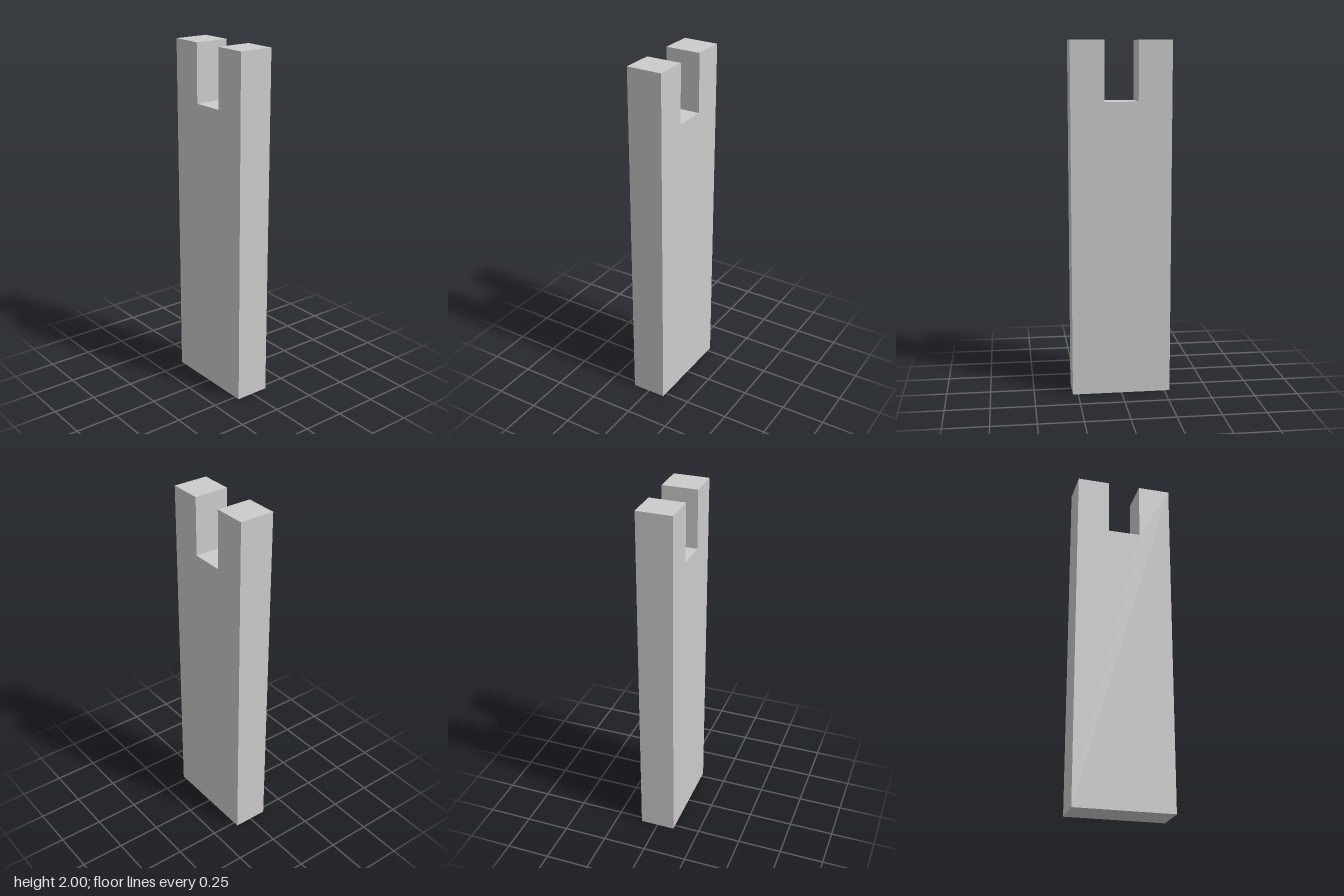
import * as THREE from 'three';

export function createModel() {
  const group = new THREE.Group();
  group.name = 'notchedPost';

  const halfWidth = 0.281, halfSlot = 0.094, height = 2, slotFloor = 1.667, depth = 0.202;

  // Front outline: upright board with a square slot cut into its top edge
  const outline = new THREE.Shape([
    [-halfWidth, 0], [halfWidth, 0], [halfWidth, height], [halfSlot, height],
    [halfSlot, slotFloor], [-halfSlot, slotFloor], [-halfSlot, height], [-halfWidth, height],
  ].map(([x, y]) => new THREE.Vector2(x, y)));

  const geometry = new THREE.ExtrudeGeometry(outline, { depth, bevelEnabled: false });
  geometry.translate(0, 0, -depth / 2);

  const board = new THREE.Mesh(
    geometry,
    new THREE.MeshStandardMaterial({ color: 0xcccccc, flatShading: true }),
  );
  board.name = 'slottedBoard';
  group.add(board);
  return group;
}
